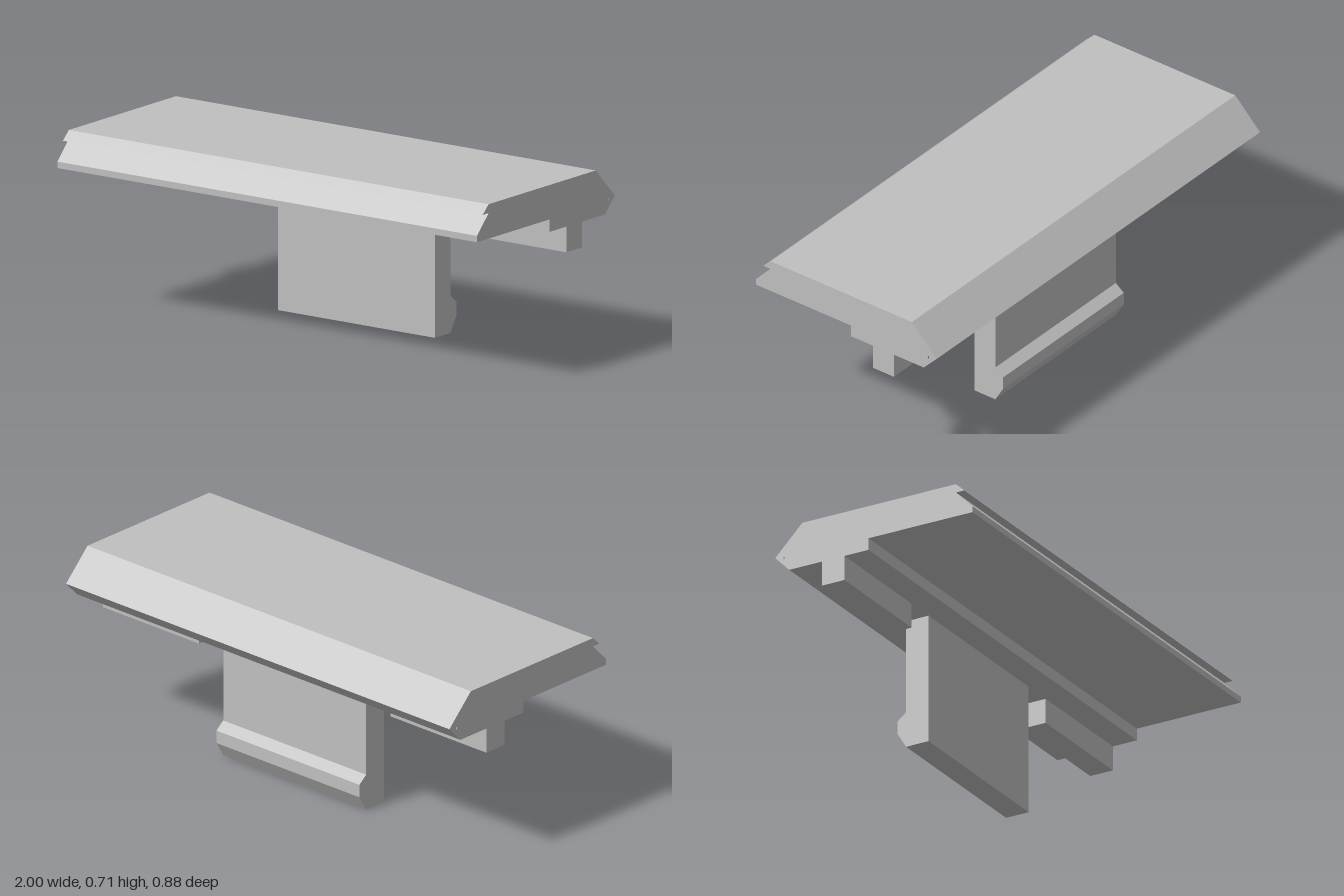
import * as THREE from 'three';

// Profiles are [z, y] points, extruded along x and centred on x = 0
const toPoints = (profile) => profile.map(([z, y]) => new THREE.Vector2(-z, y));

function extrudeAlongX(name, profile, width, material, hole) {
  const shape = new THREE.Shape(toPoints(profile));
  if (hole) shape.holes.push(new THREE.Path(toPoints(hole)));
  const geometry = new THREE.ExtrudeGeometry(shape, { depth: width, bevelEnabled: false });
  geometry.translate(0, 0, -width / 2);
  geometry.rotateY(Math.PI / 2);
  const mesh = new THREE.Mesh(geometry, material);
  mesh.name = name;
  return mesh;
}

export function createModel() {
  const model = new THREE.Group();
  model.name = 'clipOnCover';
  const grey = new THREE.MeshStandardMaterial({ color: 0xc0c0c0 });
  grey.name = 'plain grey';

  // Cover slab: notched front lip, pointed back edge, stepped underside, tiny bore
  model.add(extrudeAlongX('coverSlab', [
    [0.365, 0.712], [-0.317, 0.712], [-0.437, 0.592], [-0.375, 0.528],
    [-0.023, 0.528], [-0.023, 0.577], [0.438, 0.577], [0.438, 0.602],
    [0.365, 0.677], [0.402, 0.677],
  ], 2, grey, [[-0.393, 0.583], [-0.401, 0.592], [-0.401, 0.575]]));

  // Central tongue with a snap hook at the bottom of its back face
  model.add(extrudeAlongX('snapTongue', [
    [-0.13, 0.528], [-0.13, 0], [-0.23, 0], [-0.268, 0.063],
    [-0.268, 0.115], [-0.23, 0.145], [-0.23, 0.528],
  ], 0.746, grey));

  // Short locating ribs at both ends
  for (const side of [-1, 1]) {
    const rib = new THREE.Mesh(new THREE.BoxGeometry(0.5, 0.101, 0.1), grey);
    rib.name = side > 0 ? 'leftRib' : 'rightRib';
    rib.position.set(side * 0.75, 0.4775, -0.18);
    model.add(rib);
  }
  return model;
}
